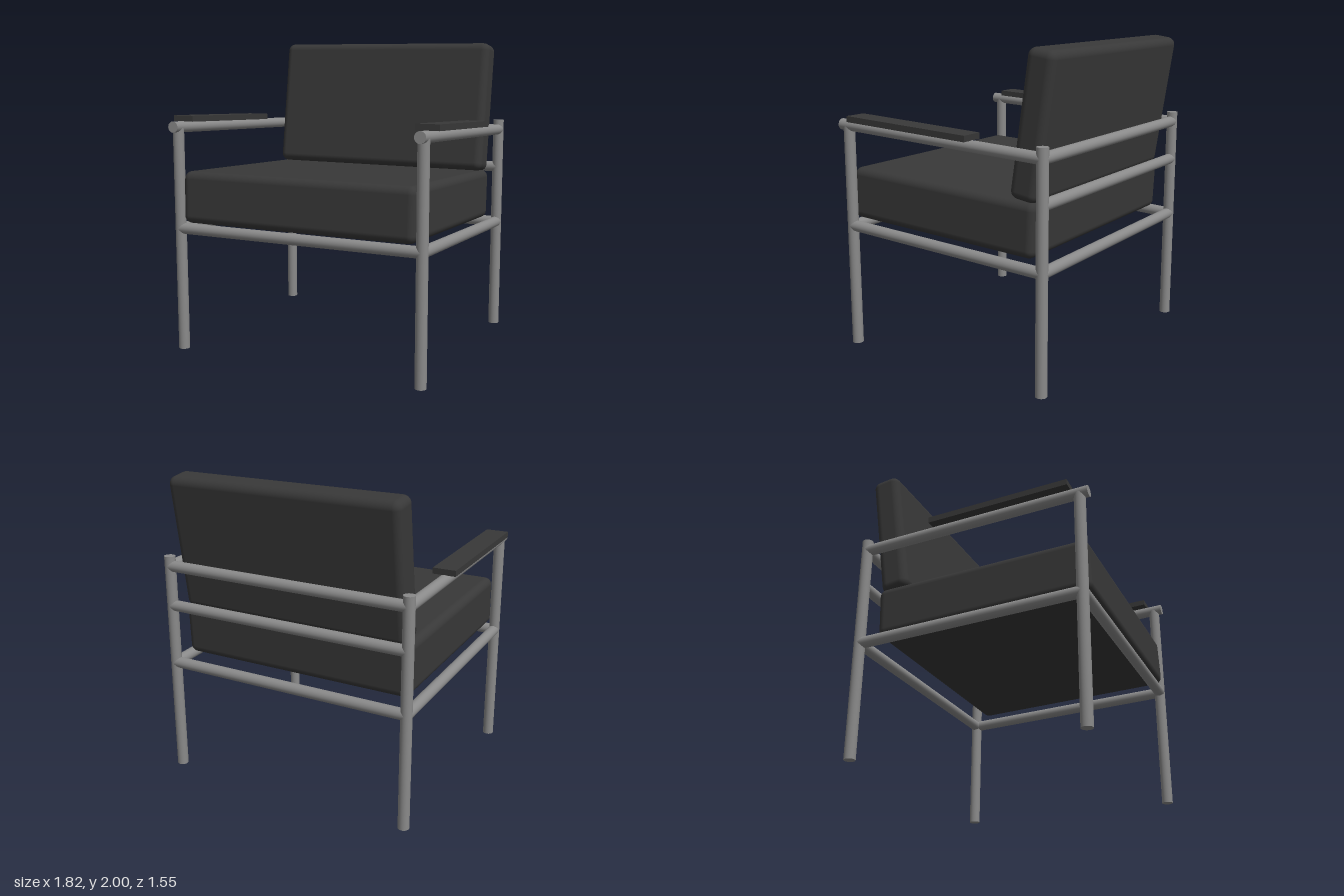
import * as THREE from 'three';
import { RoundedBoxGeometry } from 'three/addons/geometries/RoundedBoxGeometry.js';

export function createModel() {
  const model = new THREE.Group();
  model.name = 'armchair';

  const steel = new THREE.MeshStandardMaterial({ color: 0x8a8a8a });
  steel.name = 'grey steel';
  const fabric = new THREE.MeshStandardMaterial({ color: 0x383838 });
  fabric.name = 'charcoal upholstery';

  const R = 0.036;              // tube radius
  const X = 0.838;              // leg axis
  const FRONT = 0.717, BACK = -0.739;
  const TILT = -0.042;          // backward slope of seat and arms

  function add(name, geometry, material, x, y, z, tilt = 0) {
    const mesh = new THREE.Mesh(geometry, material);
    mesh.name = name;
    mesh.position.set(x, y, z);
    mesh.rotation.x = tilt;
    model.add(mesh);
    return mesh;
  }

  // Round tube between two points
  function tube(name, from, to) {
    const a = new THREE.Vector3(...from), b = new THREE.Vector3(...to);
    const dir = b.clone().sub(a);
    const mid = a.clone().add(b).multiplyScalar(0.5);
    const mesh = add(name, new THREE.CylinderGeometry(R, R, dir.length(), 24), steel, mid.x, mid.y, mid.z);
    mesh.quaternion.setFromUnitVectors(new THREE.Vector3(0, 1, 0), dir.normalize());
  }

  // Side frames and arm pads
  for (const [side, s] of [['left', 1], ['right', -1]]) {
    const x = s * X;
    tube(side + 'FrontLeg', [x, 0, FRONT], [x, 1.46, FRONT]);
    tube(side + 'BackLeg', [x, 0, BACK], [x, 1.47, BACK]);
    tube(side + 'ArmRail', [x, 1.467, 0.775], [x, 1.404, BACK]);
    tube(side + 'SeatRail', [x, 0.807, FRONT], [x, 0.746, BACK]);
    add(side + 'ArmPad', new THREE.BoxGeometry(0.148, 0.038, 0.92), fabric, x, 1.496, 0.204, TILT);
  }

  // Cross rails joining the sides
  const crossRails = [
    ['frontSeatRail', 0.807, FRONT],
    ['backSeatRail', 0.746, BACK],
    ['lowerBackRail', 1.14, BACK],
    ['upperBackRail', 1.404, BACK],
  ];
  for (const [name, y, z] of crossRails) tube(name, [-X, y, z], [X, y, z]);

  // Cushions
  add('seatCushion', new RoundedBoxGeometry(1.605, 0.336, 1.4, 5, 0.05), fabric, 0, 0.987, 0.047, TILT);
  add('backCushion', new RoundedBoxGeometry(1.58, 0.878, 0.186, 5, 0.05), fabric, 0.005, 1.56, -0.626, -0.148);

  return model;
}
